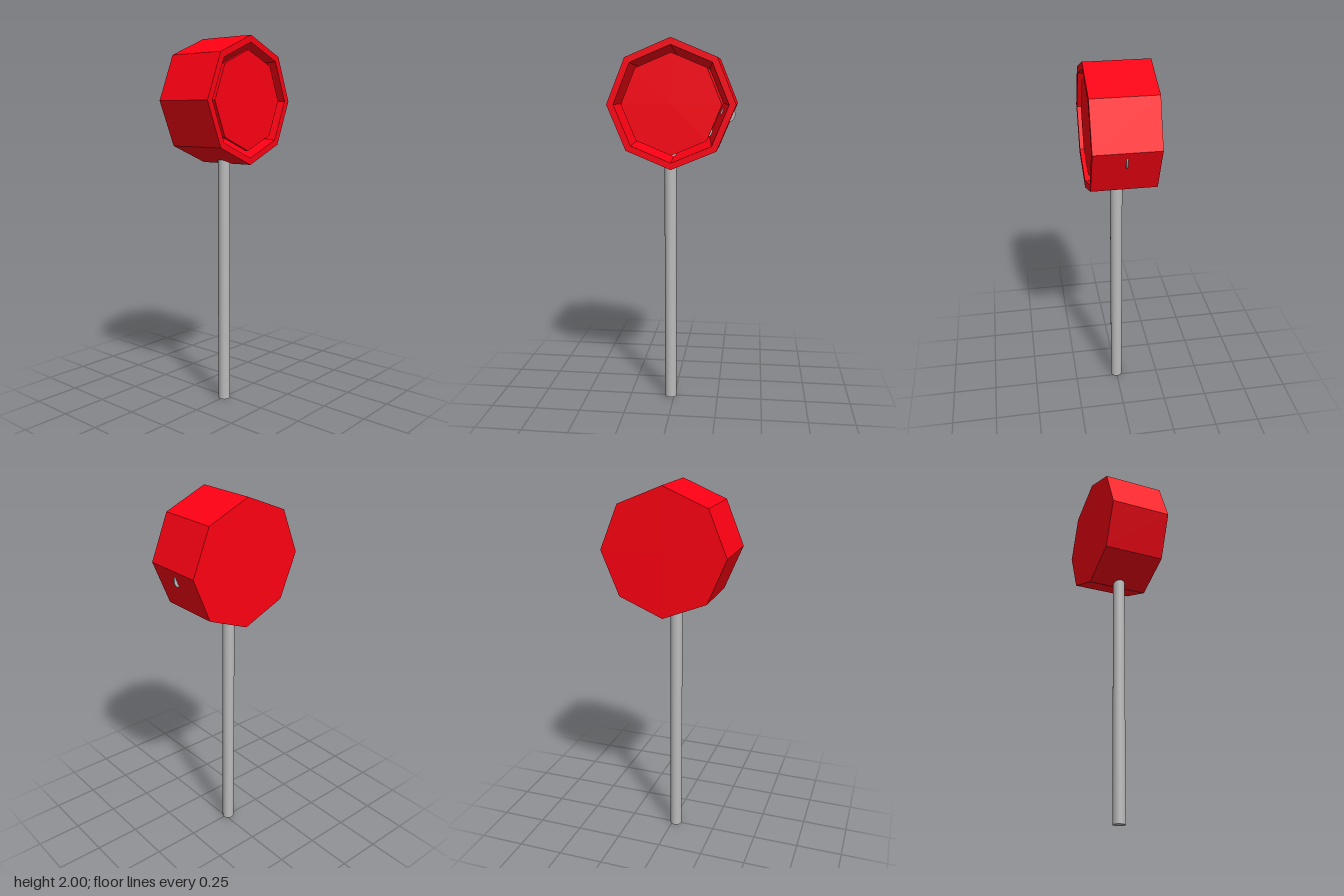
import * as THREE from 'three';

export function createModel() {
  const model = new THREE.Group();
  const red = new THREE.MeshStandardMaterial({ color: 0xff0012, flatShading: true });
  const grey = new THREE.MeshStandardMaterial({ color: 0xbbbbbb });

  const add = (parent, name, geometry, material) => {
    const mesh = new THREE.Mesh(geometry, material);
    mesh.name = name;
    parent.add(mesh);
    return mesh;
  };

  // Octagonal drum lying on its side, open towards +x
  const drum = new THREE.Group();
  drum.name = 'drum';
  drum.position.y = 1.667;
  drum.rotation.z = -Math.PI / 2;
  model.add(drum);

  // Closed back, straight outside, flat rim and tapering cavity
  const profile = [
    [0, -0.167], [0.333, -0.167], [0.333, 0.167],
    [0.297, 0.167], [0.255, -0.13], [0, -0.13],
  ].map(([r, y]) => new THREE.Vector2(r, y));
  add(drum, 'drumShell', new THREE.LatheGeometry(profile, 8).toNonIndexed(), red);

  // Front panel just behind the rim, slightly smaller than the opening
  const panel = add(drum, 'frontPanel', new THREE.CylinderGeometry(0.26, 0.26, 0.02, 8), red);
  panel.position.y = 0.14;

  // Thin discs around the cavity; the last one breaks through the rear wall
  const discs = [[0.2, 0.05, 0.053], [0.195, -0.08, 0.05], [-0.17, -0.14, 0.035], [-0.285, -0.055, 0.04]];
  for (const [z, y, radius] of discs) {
    const disc = add(model, 'jingleDisc', new THREE.CylinderGeometry(radius, radius, 0.008, 24), grey);
    disc.rotation.z = Math.PI / 2;
    disc.position.set(0, 1.667 + y, z);
  }

  // Round pole, set just in front of the drum's centre
  const pole = add(model, 'pole', new THREE.CylinderGeometry(0.033, 0.033, 1.42, 24), grey);
  pole.position.set(0, 0.71, 0.02);

  return model;
}
